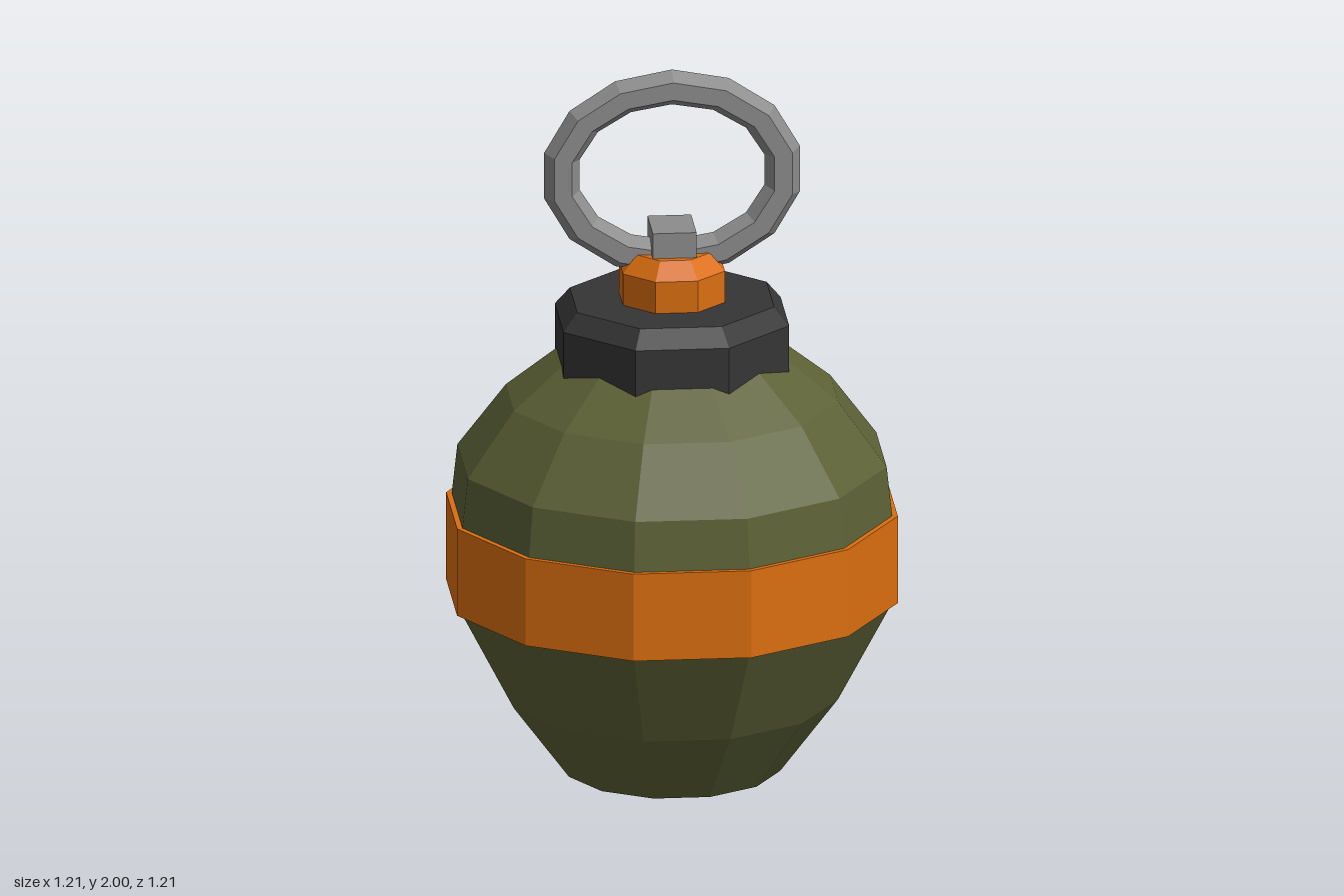
import * as THREE from 'three';

const flat = (name, color) => {
  const m = new THREE.MeshStandardMaterial({ color, flatShading: true });
  m.name = name;
  return m;
};

// Faceted solid from [apothem, y] points, bottom to top, with flat sides facing the axes
function turned(profile, sides) {
  const k = 1 / Math.cos(Math.PI / sides);
  const points = profile.map(([r, y]) => new THREE.Vector2(r * k, y));
  return new THREE.LatheGeometry(points, sides, Math.PI / sides);
}

export function createModel() {
  const green = flat('olive green', 0x5c6136);
  const orange = flat('orange', 0xdb6e10);
  const charcoal = flat('charcoal', 0x353535);
  const steel = flat('steel grey', 0x8c8c8c);

  const model = new THREE.Group();
  model.name = 'grenade';
  const add = (name, geometry, material) => {
    const mesh = new THREE.Mesh(geometry, material);
    mesh.name = name;
    model.add(mesh);
    return mesh;
  };

  // Egg-shaped body and its dark base
  add('body', turned([
    [0.29, 0], [0.445, 0.215], [0.59, 0.5], [0.59, 0.75],
    [0.575, 0.89], [0.445, 1.07], [0.3, 1.19], [0, 1.25],
  ], 12), green);
  add('base', turned([[0, 0], [0.29, 0]], 12), charcoal);

  // Band round the middle
  add('band', turned([[0.57, 0.5], [0.605, 0.5], [0.605, 0.75], [0.57, 0.75]], 12), orange);

  // Octagonal collar and knob with bevelled tops
  add('collar', turned([[0, 1.12], [0.31, 1.12], [0.31, 1.295], [0.27, 1.345], [0, 1.345]], 8), charcoal);
  add('knob', turned([[0, 1.33], [0.14, 1.33], [0.14, 1.435], [0.1, 1.483], [0, 1.483]], 8), orange);

  // Block holding the ring
  add('ringHolder', new THREE.BoxGeometry(0.12, 0.085, 0.16), steel).position.y = 1.5125;

  // Pull ring: a torus stretched sideways, keeping its tube even
  const ring = new THREE.TorusGeometry(0.245, 0.05, 6, 14).rotateZ(Math.PI / 2);
  const p = ring.attributes.position;
  for (let i = 0; i < p.count; i++) {
    const x = p.getX(i);
    p.setX(i, x + 0.065 * x / Math.hypot(x, p.getY(i)));
  }
  ring.computeVertexNormals();
  add('pullRing', ring, steel).position.y = 1.705;

  return model;
}
